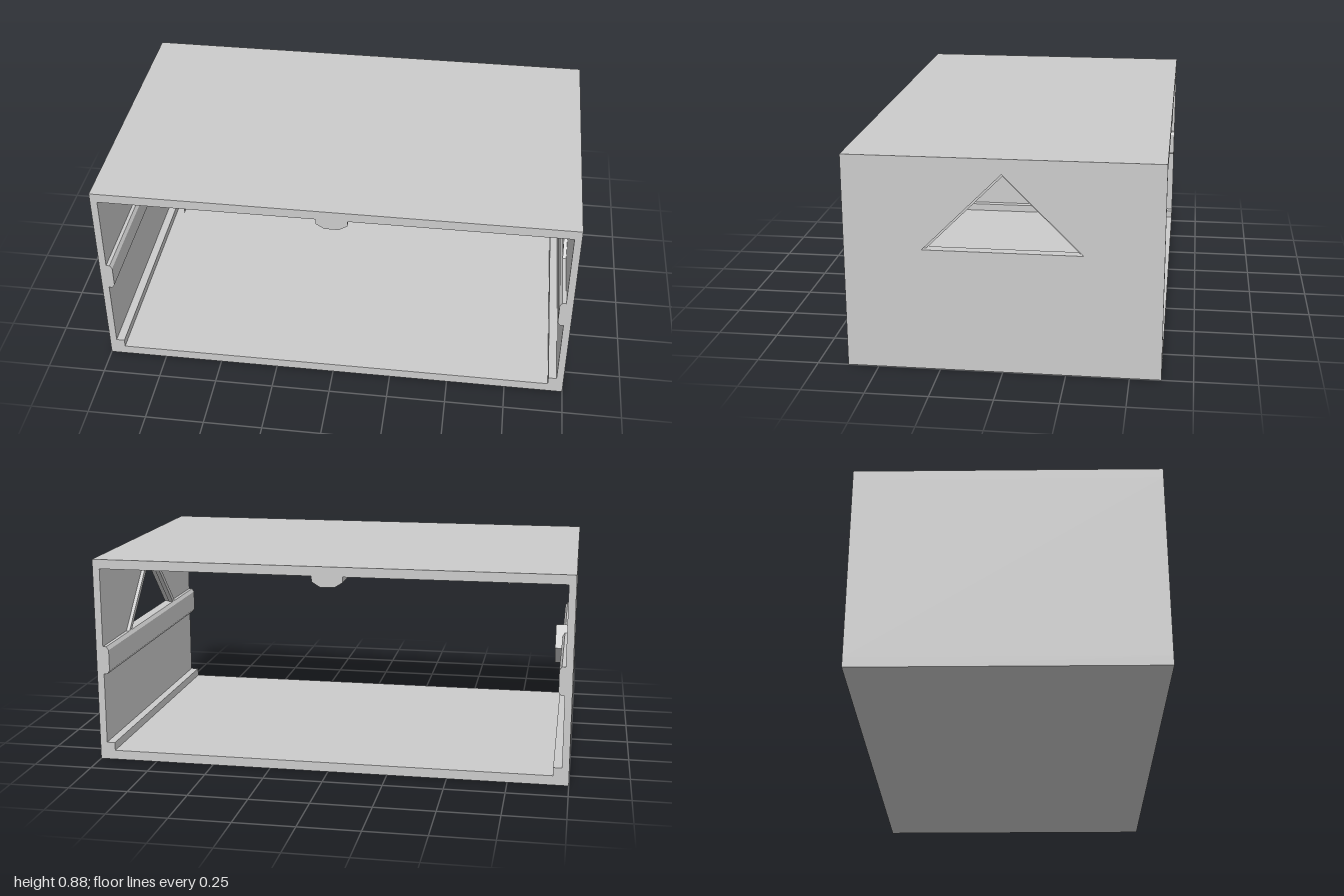
import * as THREE from 'three';

const W = 1, H = 0.875, D = 0.625, SIDE = 0.03, SLAB = 0.04;

export function createModel() {
  const group = new THREE.Group();
  const material = new THREE.MeshStandardMaterial({ color: 0xcccccc, flatShading: true });

  const add = (name, geometry) => {
    const mesh = new THREE.Mesh(geometry, material);
    mesh.name = name;
    group.add(mesh);
    return mesh;
  };
  const box = (name, x0, x1, y0, y1) =>
    add(name, new THREE.BoxGeometry(x1 - x0, y1 - y0, 2 * D))
      .position.set((x0 + x1) / 2, (y0 + y1) / 2, 0);
  const outline = (points) => new THREE.Shape(points.map(([x, y]) => new THREE.Vector2(x, y)));
  const extrude = (shape, depth) =>
    new THREE.ExtrudeGeometry(shape, { depth, bevelEnabled: false });
  // Extrudes a (z, y) outline along x, from x0 to x1
  const extrudeX = (name, shape, x0, x1) => {
    const geometry = extrude(shape, x1 - x0);
    geometry.rotateY(Math.PI / 2);
    geometry.translate(x0, 0, 0);
    return add(name, geometry);
  };
  // Extrudes an (x, y) outline through the full depth
  const extrudeZ = (name, points) => {
    const geometry = extrude(outline(points), 2 * D);
    geometry.translate(0, 0, -D);
    return add(name, geometry);
  };
  const triangle = (half, base) => [[-half, base], [half, base], [0, base + half]];

  // Sleeve shell, open at front and back
  box('floor', -W, W, 0, SLAB);
  box('roof', -W, W, H - SLAB, H);
  box('rightWall', -W, -W + SIDE, SLAB, H - SLAB);

  // Wall with the triangular window
  const wall = outline([[-D, SLAB], [D, SLAB], [D, H - SLAB], [-D, H - SLAB]]);
  wall.holes.push(outline(triangle(0.315, 0.5)));
  extrudeX('windowWall', wall, W - SIDE, W);

  // Thin raised rim along the window's two slopes, inside the wall
  extrudeX('windowRim', outline([
    [-0.33, 0.5], [-0.3, 0.5], [0, 0.8], [0.3, 0.5], [0.33, 0.5], [0, 0.83],
  ]), 0.955, 0.975);

  // Guide rails on both side walls and in the floor corners
  for (const s of [-1, 1]) {
    extrudeZ('sideRail', [
      [s * 0.97, 0.38], [s * 0.955, 0.38], [s * 0.945, 0.395],
      [s * 0.945, 0.485], [s * 0.955, 0.5], [s * 0.97, 0.5],
    ]);
    box('cornerRail', Math.min(s * 0.97, s * 0.935), Math.max(s * 0.97, s * 0.935), SLAB, 0.075);
  }

  // Chamfered rail under the middle of the roof
  const railProfile = [
    [-0.065, 0.835], [-0.065, 0.812], [-0.03, 0.79], [0.03, 0.79], [0.065, 0.812], [0.065, 0.835],
  ];
  extrudeZ('roofRail', railProfile);

  // Second roof rail, with open ends
  const corners = [];
  for (let i = 0; i < railProfile.length - 1; i++) {
    const [ax, ay] = railProfile[i], [bx, by] = railProfile[i + 1];
    const x = -0.67;
    corners.push(
      ax + x, ay, D, ax + x, ay, -D, bx + x, by, -D,
      ax + x, ay, D, bx + x, by, -D, bx + x, by, D,
    );
  }
  const openRail = new THREE.BufferGeometry();
  openRail.setAttribute('position', new THREE.Float32BufferAttribute(corners, 3));
  openRail.computeVertexNormals();
  add('openRoofRail', openRail);

  // Diamond peg at the middle of the plain wall
  extrudeX('peg', outline([[0, 0.355], [0.0875, 0.4425], [0, 0.53], [-0.0875, 0.4425]]), -0.975, -0.915);

  return group;
}
